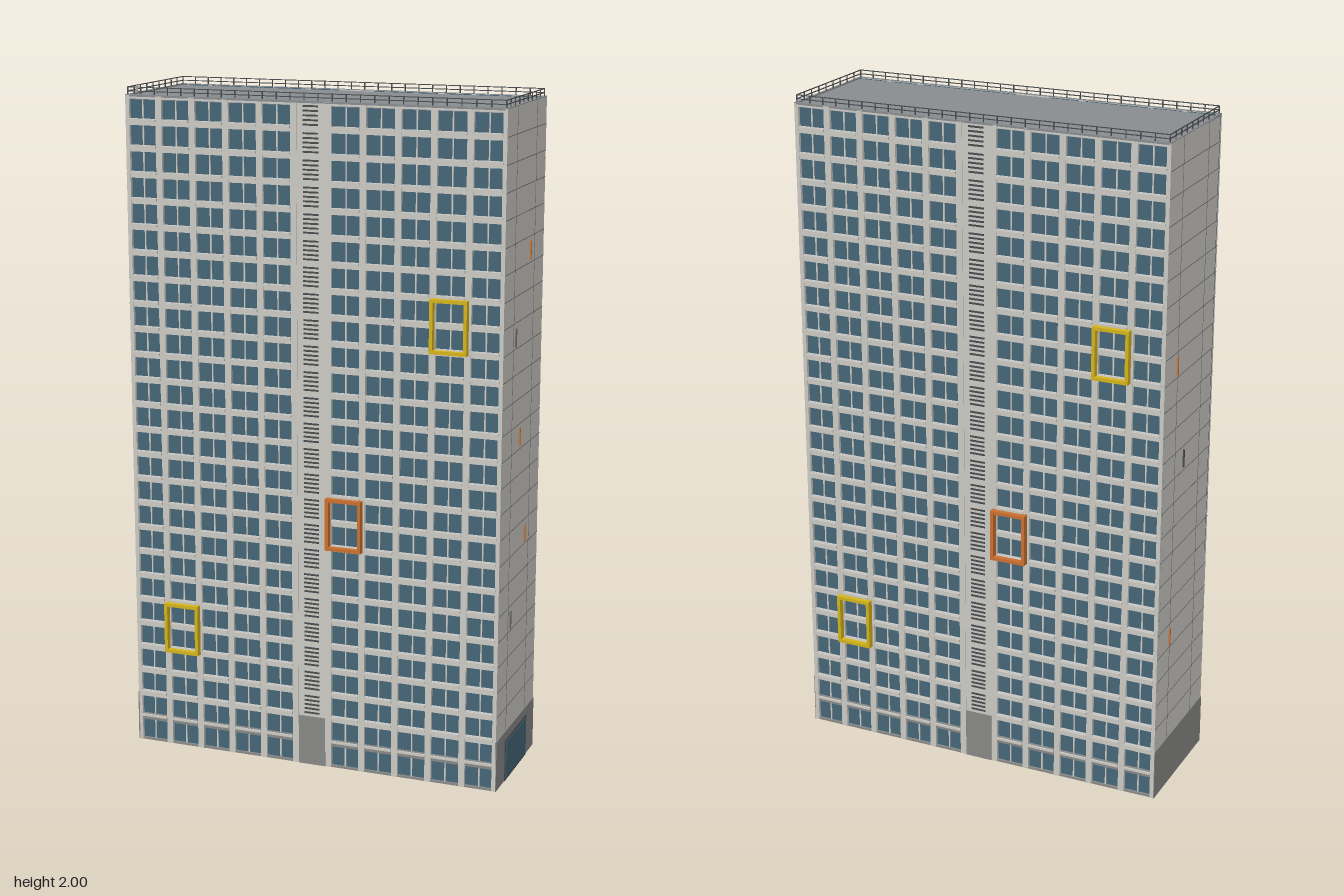
import * as THREE from 'three';
import { mergeGeometries } from 'three/addons/utils/BufferGeometryUtils.js';

const W = 1.145, D = 0.388, H = 1.976;      // block width, depth, height
const FLOORS = 26, BAYS = 11;
const FLOOR = H / FLOORS, BAY = W / BAYS;
const FACE = D / 2;

const material = (name, color) => {
  const m = new THREE.MeshStandardMaterial({ color });
  m.name = name;
  return m;
};

// One box: size, then centre
const box = (w, h, d, x, y, z) => new THREE.BoxGeometry(w, h, d).translate(x, y, z);

// One mesh from many boxes
function part(parent, name, mat, geometries) {
  const mesh = new THREE.Mesh(mergeGeometries(geometries), mat);
  mesh.name = name;
  parent.add(mesh);
  return mesh;
}

// Two-storey projecting frame around a bay
function balconyFrame(parent, name, mat, bay, floor) {
  const w = 0.11, h = FLOOR * 2 + 0.004, t = 0.01, d = 0.03;
  const x = bay * BAY, y = (floor + 1) * FLOOR, z = FACE + 0.005;
  part(parent, name, mat, [
    ...[-1, 1].map(s => box(t, h, d, x + s * (w - t) / 2, y, z)),
    ...[-1, 1].map(s => box(w - 2 * t, t, d, x, y + s * (h - t) / 2, z)),
  ]);
}

// One long side, facing +z
function facade(mats) {
  const g = new THREE.Group();
  const glass = [], mullions = [], pilasters = [], bands = [], sills = [], slats = [];
  for (let i = -5; i <= 5; i++) {
    const x = i * BAY;
    if (i === 0) continue;
    glass.push(box(BAY, H, 0.004, x, H / 2, FACE - 0.012));
    mullions.push(box(0.004, H, 0.004, x, H / 2, FACE - 0.009));
    for (let f = 1; f < FLOORS; f++) {
      sills.push(box(BAY - 0.02, 0.007, 0.008, x, f * FLOOR + 0.005, FACE));
    }
  }
  for (let i = 0; i <= BAYS; i++) {
    const w = i === 0 || i === BAYS ? 0.012 : 0.019;
    const x = THREE.MathUtils.clamp(-W / 2 + i * BAY, -W / 2 + w / 2, W / 2 - w / 2);
    pilasters.push(box(w, H, 0.014, x, H / 2, FACE - 0.007));
  }
  // Floor bands either side of the stair bay
  const bandW = 5 * BAY, bandX = 3 * BAY, low = [];
  for (let f = 1; f <= FLOORS; f++) {
    const top = f === FLOORS;
    for (const s of [-1, 1]) {
      const b = box(bandW, top ? 0.01 : 0.019, 0.012, s * bandX, top ? H - 0.005 : f * FLOOR, FACE - 0.0075);
      (f === 1 ? low : bands).push(b);
    }
  }
  // Stair bay with ventilation slats on each floor
  for (let f = 2; f < FLOORS; f++) {
    for (let k = 0; k < 5; k++) {
      slats.push(box(0.046, 0.005, 0.003, 0, f * FLOOR + 0.012 + k * 0.013, FACE - 0.001));
    }
  }
  part(g, 'windowGlass', mats.glass, glass);
  part(g, 'windowMullions', mats.wall, mullions);
  part(g, 'pilasters', mats.wall, pilasters);
  part(g, 'floorBands', mats.wall, bands);
  part(g, 'groundFloorBand', mats.base, low);
  part(g, 'windowSills', mats.wall, sills);
  part(g, 'stairWall', mats.wall, [box(BAY, H, 0.012, 0, H / 2, FACE - 0.008)]);
  part(g, 'stairSlats', mats.dark, slats);
  part(g, 'stairBase', mats.base, [box(BAY - 0.02, 2 * FLOOR, 0.004, 0, FLOOR, FACE - 0.001)]);
  balconyFrame(g, 'lowerYellowFrame', mats.yellow, -4, 4);
  balconyFrame(g, 'orangeFrame', mats.orange, 1, 9);
  balconyFrame(g, 'upperYellowFrame', mats.yellow, 4, 17);
  return g;
}

// Panel joints and plinth of one end wall; s is the side
function endWall(parent, mats, s) {
  const x = s * W / 2;
  const seams = [];
  for (let f = 3; f < FLOORS; f++) seams.push(box(0.002, 0.0018, D - 0.002, x, f * FLOOR, 0));
  for (const v of [-D / 4, D / 4]) {
    seams.push(box(0.002, H - 2 * FLOOR, 0.0012, x, H / 2 + FLOOR, v));
  }
  part(parent, 'panelJoints', mats.seam, seams);
  part(parent, 'endPlinth', mats.base, [box(0.004, 2 * FLOOR + 0.002, D, x, FLOOR + 0.001, 0)]);
}

// Thin upright strips on an end wall: [y, z]
function strips(parent, name, mat, s, list) {
  part(parent, name, mat, list.map(([y, z]) => box(0.006, 0.054, 0.006, s * (W / 2 + 0.001), y, z)));
}

export function createModel() {
  const mats = {
    wall: material('pale concrete', 0xcfcdc8),
    glass: material('blue glass', 0x47687a),
    base: material('grey plinth', 0x8a8a89),
    roof: material('roof grey', 0x8b8f92),
    dark: material('dark metal', 0x4a4d50),
    seam: material('joint grey', 0x6c6c6a),
    yellow: material('yellow paint', 0xd8b81e),
    orange: material('orange paint', 0xcf7230),
  };
  const model = new THREE.Group();
  model.name = 'apartmentBlock';
  const block = new THREE.Group();
  block.name = 'block';
  block.rotation.y = THREE.MathUtils.degToRad(20.1);
  model.add(block);

  // Core and roof
  part(block, 'core', mats.wall, [box(W, H - 0.012, D - 0.026, 0, H / 2 - 0.004, 0)]);
  part(block, 'endPanels', mats.wall,
    [-1, 1].map(s => box(0.006, H, D, s * (W / 2 - 0.003), H / 2, 0)));
  part(block, 'foundation', mats.base, [box(W - 0.002, 0.006, D - 0.004, 0, 0.003, 0)]);
  part(block, 'roof', mats.roof, [box(W - 0.012, 0.01, D - 0.012, 0, H - 0.007, 0)]);
  part(block, 'parapet', mats.roof, [
    ...[-1, 1].map(s => box(W, 0.006, 0.008, 0, H - 0.001, s * (FACE - 0.004))),
    ...[-1, 1].map(s => box(0.008, 0.006, D - 0.016, s * (W / 2 - 0.004), H - 0.001, 0)),
  ]);

  // Matching long sides
  for (const [name, turn] of [['frontFacade', 0], ['backFacade', Math.PI]]) {
    const g = facade(mats);
    g.name = name;
    g.rotation.y = turn;
    block.add(g);
  }

  // End walls
  for (const s of [-1, 1]) endWall(block, mats, s);
  strips(block, 'leftOrangeStrips', mats.orange, 1, [[1.555, -0.054], [1.025, 0.02], [0.717, -0.054]]);
  strips(block, 'leftDarkStrips', mats.seam, 1, [[1.325, 0.077], [0.49, 0.077]]);
  strips(block, 'rightOrangeStrips', mats.orange, -1, [[1.325, -0.1], [0.49, -0.1]]);
  strips(block, 'rightDarkStrip', mats.dark, -1, [[1.025, -0.03]]);

  // Entrance in the left end
  part(block, 'entranceFrame', mats.dark, [box(0.008, 0.128, 0.22, W / 2, 0.064, 0)]);
  part(block, 'entranceGlass', mats.glass, [box(0.006, 0.115, 0.208, W / 2 + 0.003, 0.0645, 0)]);

  // Roof railing
  const rw = W - 0.012, rd = D - 0.012, t = 0.0028, rails = [];
  const posts = (length, place) => {
    const n = Math.round(length / 0.0416);
    for (let i = 0; i <= n; i++) place(-length / 2 + length * i / n);
  };
  for (const s of [-1, 1]) {
    posts(rw, x => rails.push(box(t, 0.024, t, x, 1.987, s * rd / 2)));
    posts(rd, z => rails.push(box(t, 0.024, t, s * rw / 2, 1.987, z)));
    for (const y of [1.9875, 1.9988]) {
      rails.push(box(rw, 0.0024, t, 0, y, s * rd / 2), box(t, 0.0024, rd, s * rw / 2, y, 0));
    }
  }
  part(block, 'roofRailing', mats.dark, rails);
  return model;
}
